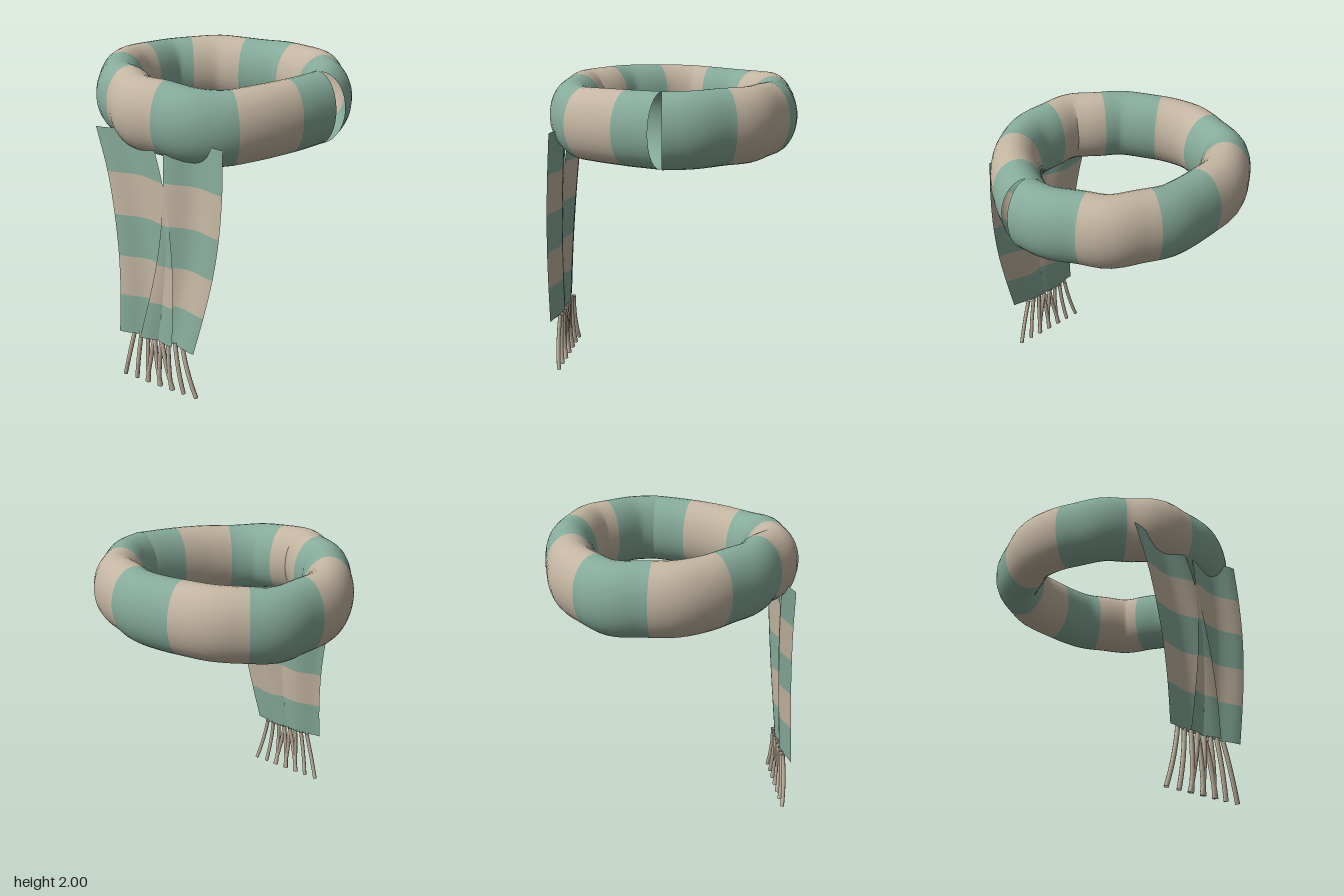
import * as THREE from 'three';

const green = new THREE.MeshStandardMaterial({ color: 0x86ab9a, side: THREE.DoubleSide });
green.name = 'sage green wool';
const beige = new THREE.MeshStandardMaterial({ color: 0xc3b5a1, side: THREE.DoubleSide });
beige.name = 'beige wool';

// Skin over rows of points, striped green and beige every few rows
function stripedSkin(name, rows, closed, rowsPerBand) {
  const n = rows[0].length;
  const cols = closed ? n : n - 1;
  const index = [];
  for (let i = 0; i < rows.length - 1; i++) {
    for (let j = 0; j < cols; j++) {
      const a = i * n + j, b = i * n + (j + 1) % n;
      index.push(a, b, a + n, b, b + n, a + n);
    }
  }
  const geo = new THREE.BufferGeometry().setFromPoints(rows.flat());
  geo.setIndex(index);
  geo.computeVertexNormals();
  const bandSize = rowsPerBand * cols * 6;
  for (let k = 0; k * bandSize < index.length; k++) {
    geo.addGroup(k * bandSize, bandSize, k % 2);
  }
  const mesh = new THREE.Mesh(geo, [green, beige]);
  mesh.name = name;
  return mesh;
}

// Lumpy neck loop, open at the seam on the left side
function neckLoop() {
  // Loop radius every 15 degrees and height every 30, from +x towards +z
  const radii = [0.665, 0.62, 0.605, 0.615, 0.645, 0.665, 0.645, 0.665, 0.615, 0.63, 0.622, 0.65, 0.675,
    0.665, 0.687, 0.655, 0.64, 0.6, 0.592, 0.613, 0.62, 0.658, 0.645, 0.672, 0.677];
  const heights = [1.755, 1.745, 1.73, 1.765, 1.78, 1.775, 1.76, 1.745, 1.76, 1.755, 1.765, 1.765, 1.755];
  const path = new THREE.CatmullRomCurve3(radii.map((r, i) => {
    const a = i * Math.PI / 12;
    const y = (heights[Math.floor(i / 2)] + heights[Math.ceil(i / 2)]) / 2;
    return new THREE.Vector3(r * Math.cos(a), y, -0.04 + r * Math.sin(a));
  }), false, 'catmullrom');

  const bands = [0, 21, 55, 90, 123, 159, 191, 222.5, 258, 293, 327, 360];
  const perBand = 8, sides = 32, rows = [];
  for (let b = 0; b < bands.length - 1; b++) {
    for (let s = b ? 1 : 0; s <= perBand; s++) {
      const t = (bands[b] + (bands[b + 1] - bands[b]) * s / perBand) / 360;
      const p = path.getPoint(t), d = path.getTangent(t);
      const out = new THREE.Vector3(d.z, 0, -d.x).normalize();
      const row = [];
      for (let j = 0; j < sides; j++) {
        const a = j / sides * Math.PI * 2;
        const q = p.clone().addScaledVector(out, 0.155 * Math.cos(a));
        q.y += 0.222 * Math.sin(a);
        row.push(q);
      }
      rows.push(row);
    }
  }
  return stripedSkin('neckLoop', rows, true, perBand);
}

// Hanging end: a hollow-fronted sheet that follows a bent centre line
function hangingEnd(name, centres) {
  const path = new THREE.CatmullRomCurve3(
    centres.map((x, i) => new THREE.Vector3(x, 1.675 - i * 0.263, 0.657 + i * 0.0187)), false, 'catmullrom');
  const perBand = 6, steps = perBand * 5, across = 16, rows = [];
  for (let i = 0; i <= steps; i++) {
    const p = path.getPoint(i / steps);
    const row = [];
    for (let j = 0; j <= across; j++) {
      const u = 1 - 2 * j / across;
      const lift = 0.02 * (1 - Math.cos(u * Math.PI));
      row.push(new THREE.Vector3(p.x + 0.195 * u, p.y, p.z + lift));
    }
    rows.push(row);
  }
  return stripedSkin(name, rows, false, perBand);
}

// Fringe strands fanning out below a hanging end
function fringe(name, side) {
  const group = new THREE.Group();
  group.name = name;
  for (let i = 0; i < 5; i++) {
    const top = side * (0.175 - 0.05 * i);
    const foot = side * (0.27 - 0.092 * i);
    const curve = new THREE.QuadraticBezierCurve3(
      new THREE.Vector3(top, 0.375, 0.75),
      new THREE.Vector3(top + (foot - top) * 0.42, 0.19, 0.768),
      new THREE.Vector3(foot, 0.008, 0.748));
    const strand = new THREE.Mesh(new THREE.TubeGeometry(curve, 8, 0.014, 8), beige);
    strand.name = 'strand';
    group.add(strand);
  }
  return group;
}

export function createModel() {
  const scarf = new THREE.Group();
  scarf.name = 'stripedScarf';
  scarf.add(
    neckLoop(),
    hangingEnd('rightEnd', [-0.235, -0.155, -0.105, -0.075, -0.065, -0.07]),
    hangingEnd('leftEnd', [0.235, 0.242, 0.232, 0.2, 0.147, 0.085]),
    fringe('rightFringe', -1),
    fringe('leftFringe', 1));
  return scarf;
}
